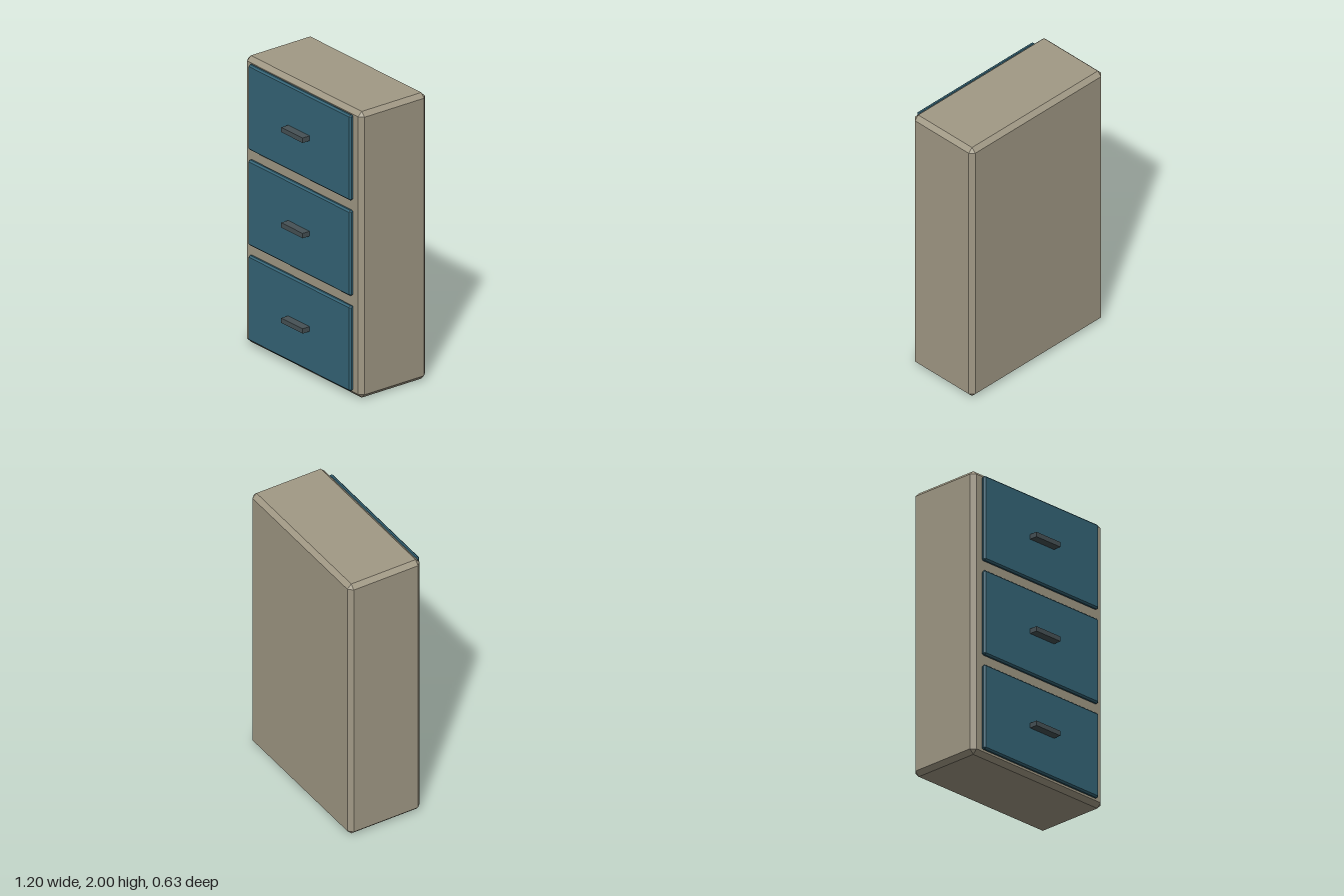
import * as THREE from 'three';
import { ConvexGeometry } from 'three/addons/geometries/ConvexGeometry.js';

const paint = (color) => new THREE.MeshStandardMaterial({ color });

// Box with every edge cut at 45 degrees: three corner points per box corner.
function chamferedBox(w, h, d, c) {
  const points = [];
  for (const sx of [-1, 1]) for (const sy of [-1, 1]) for (const sz of [-1, 1]) {
    const x = w / 2, y = h / 2, z = d / 2;
    points.push(
      new THREE.Vector3(sx * x, sy * (y - c), sz * (z - c)),
      new THREE.Vector3(sx * (x - c), sy * y, sz * (z - c)),
      new THREE.Vector3(sx * (x - c), sy * (y - c), sz * z)
    );
  }
  return new ConvexGeometry(points);
}

export function createModel() {
  const model = new THREE.Group();
  model.name = 'drawerCabinet';
  const bodyPaint = paint(0xa19985);
  const drawerPaint = paint(0x356577);
  const handlePaint = paint(0x465155);

  function add(parent, name, geometry, material, x, y, z) {
    const mesh = new THREE.Mesh(geometry, material);
    mesh.name = name;
    mesh.position.set(x, y, z);
    parent.add(mesh);
  }

  // Cabinet body
  const back = -0.317, front = 0.229;
  add(model, 'cabinetBody', chamferedBox(1.2, 2, front - back, 0.03), bodyPaint,
    0, 1, (front + back) / 2);

  // Three drawers, each a chamfered panel with a bar handle
  const panel = chamferedBox(1.052, 0.597, 0.034, 0.011);
  const bar = new THREE.BoxGeometry(0.22, 0.034, 0.067);
  ['bottomDrawer', 'middleDrawer', 'topDrawer'].forEach((name, i) => {
    const drawer = new THREE.Group();
    drawer.name = name;
    drawer.position.y = 0.338 + i * 0.6665;
    add(drawer, 'drawerFront', panel, drawerPaint, 0, 0, 0.243);
    add(drawer, 'handle', bar, handlePaint, 0, 0, 0.2835);
    model.add(drawer);
  });

  return model;
}
